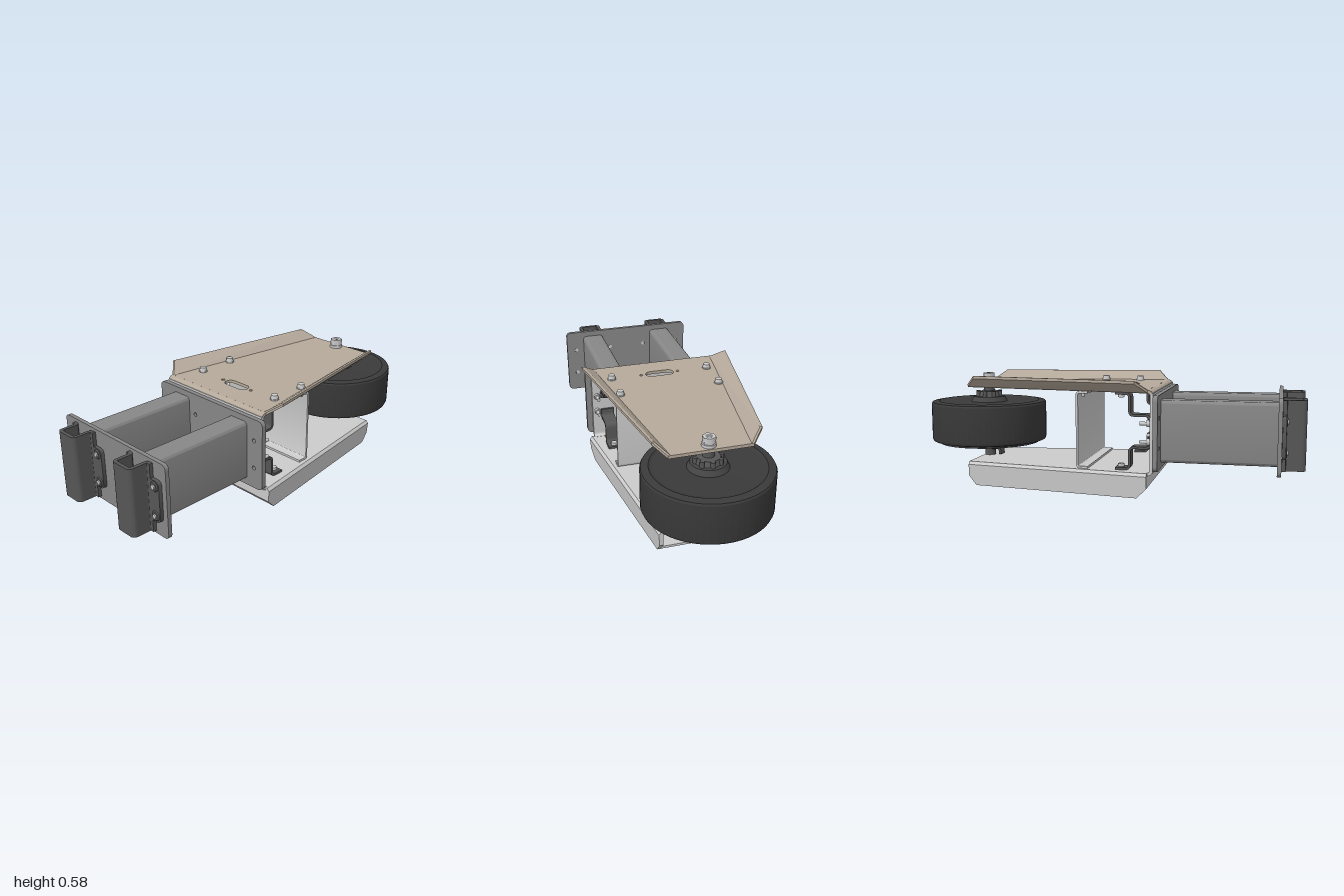
import * as THREE from 'three';
import { toCreasedNormals } from 'three/addons/utils/BufferGeometryUtils.js';
import { ConvexGeometry } from 'three/addons/geometries/ConvexGeometry.js';

const mat = (color) => new THREE.MeshStandardMaterial({ color });
const V = (x, y, z) => new THREE.Vector3(x, y, z);

export function createModel() {
  const model = new THREE.Group();
  const light = mat(0xcccccc), steel = mat(0x878787), tan = mat(0xb5a99b);
  const dark = mat(0x565656), rubber = mat(0x454545), tread = mat(0x3a3a3a);

  const add = (name, geo, material, x = 0, y = 0, z = 0) => {
    const mesh = new THREE.Mesh(geo, material);
    mesh.name = name;
    mesh.position.set(x, y, z);
    model.add(mesh);
    return mesh;
  };

  // Rounded rectangle outline, centred on the origin
  const roundRect = (w, h, r, Type = THREE.Shape) => {
    const s = new Type(), a = w / 2 - r, b = h / 2 - r;
    s.absarc(a, b, r, 0, Math.PI / 2);
    s.absarc(-a, b, r, Math.PI / 2, Math.PI);
    s.absarc(-a, -b, r, Math.PI, Math.PI * 1.5);
    s.absarc(a, -b, r, Math.PI * 1.5, Math.PI * 2);
    s.closePath();
    return s;
  };

  // Extrusion centred on its depth, running along z, x or y
  const extrude = (shape, depth, axis = 'z') => {
    let g = new THREE.ExtrudeGeometry(shape, { depth, bevelEnabled: false, curveSegments: 8 });
    g.translate(0, 0, -depth / 2);
    if (axis === 'x') g.rotateY(-Math.PI / 2);
    if (axis === 'y') g.rotateX(Math.PI / 2);
    return toCreasedNormals(g, 0.6);
  };

  // Bent sheet section: a polyline with rounded corners, given thickness t
  const strip = (pts, t, r) => {
    const p = pts.map(([x, y]) => new THREE.Vector2(x, y));
    const line = [p[0]];
    for (let i = 1; i < p.length - 1; i++) {
      const a = p[i].clone().add(p[i - 1].clone().sub(p[i]).setLength(r));
      const b = p[i].clone().add(p[i + 1].clone().sub(p[i]).setLength(r));
      line.push(...new THREE.QuadraticBezierCurve(a, p[i], b).getPoints(5));
    }
    line.push(p[p.length - 1]);
    const side = (k) => line.map((q, i) => {
      const d = line[Math.min(i + 1, line.length - 1)].clone().sub(line[Math.max(i - 1, 0)]).normalize();
      return new THREE.Vector2(q.x - d.y * k, q.y + d.x * k);
    });
    return new THREE.Shape([...side(t / 2), ...side(-t / 2).reverse()]);
  };

  const cyl = (r, h, n = 20, r2 = r) => new THREE.CylinderGeometry(r, r2, h, n);
  const cylZ = (r, h, n = 20, r2 = r) => cyl(r, h, n, r2).rotateX(Math.PI / 2);

  // Two square end plates with bolt holes
  const boltX = [-0.315, -0.105, 0.105, 0.315], boltY = [0.245, 0.392];
  for (const [name, z, d] of [['frontPlate', 0.877, 0.02], ['rearPlate', 0.292, 0.024]]) {
    const s = roundRect(0.74, 0.37, 0.025);
    for (const x of boltX) for (const y of boltY) {
      const hole = new THREE.Path();
      hole.absarc(x, y - 0.32, 0.011, 0, Math.PI * 2, true);
      s.holes.push(hole);
    }
    add(name, extrude(s, d), steel, 0, 0.32, z);
  }

  // Twin hollow arms, hat-shaped clamps and their screws
  for (const x of [-0.208, 0.208]) {
    const tube = roundRect(0.12, 0.31, 0.02);
    tube.holes.push(roundRect(0.096, 0.286, 0.012, THREE.Path));
    add('armTube', extrude(tube, 0.565), steel, x, 0.32, 0.586);

    const hat = strip([[-0.08, 0.897], [-0.053, 0.897], [-0.053, 0.991], [0.053, 0.991], [0.053, 0.897], [0.08, 0.897]], 0.018, 0.016);
    add('clampChannel', extrude(hat, 0.34, 'y'), dark, x, 0.32, 0);
    for (const s of [-1, 1]) {
      add('clampFlange', extrude(roundRect(0.075, 0.206, 0.022), 0.018), dark, x + s * 0.0975, 0.318, 0.897);
      for (const y of boltY) {
        add('clampCollar', cylZ(0.02, 0.006, 20, 0.026), dark, x + s * 0.105, y, 0.908);
        add('clampScrew', cylZ(0.011, 0.05), light, x + s * 0.105, y, 0.892);
      }
    }
  }

  // Fork head: upright plate joined to both fork plates by rounded bends
  add('headPlate', extrude(roundRect(0.68, 0.39, 0.004), 0.016), light, 0, 0.32, 0.27);
  const bend = (s) => {
    const path = [[0.27, 0.32 + s * 0.175], [0.27, 0.32 + s * 0.202], [0.235, 0.32 + s * 0.202]];
    return extrude(strip(path, 0.016, 0.022), 0.68, 'x');
  };
  add('upperBend', bend(1), tan);
  add('lowerBend', bend(-1), light);
  for (const x of boltX) for (const y of [0.275, 0.365]) {
    add('headNut', cylZ(0.017, 0.02, 6), light, x, y, 0.253);
    add('headStud', cylZ(0.009, 0.07), light, x, y, 0.243);
  }

  // Upper fork plate with a slot and small holes (drawn as x, z)
  const top = new THREE.Shape([[-0.34, 0.25], [0.34, 0.25], [0.2, -0.73], [-0.2, -0.73]].map(([x, z]) => new THREE.Vector2(x, z)));
  const slot = new THREE.Path();
  slot.absarc(0.045, 0.11, 0.03, -Math.PI / 2, Math.PI / 2);
  slot.absarc(-0.045, 0.11, 0.03, Math.PI / 2, Math.PI * 1.5);
  slot.closePath();
  top.holes.push(slot);
  for (const x of [-0.1, 0.1]) {
    const h = new THREE.Path();
    h.absarc(x, 0.11, 0.009, 0, Math.PI * 2);
    top.holes.push(h);
  }
  add('upperForkPlate', extrude(top, 0.016, 'y'), tan, 0, 0.522, 0);

  // Flared lips along the upper fork plate
  for (const s of [-1, 1]) {
    const pts = [];
    for (const [x, y, z] of [[0.34, 0.53, 0.25], [0.4, 0.577, 0.195], [0.258, 0.577, -0.675], [0.2, 0.53, -0.73]]) {
      pts.push(V(s * x, y, z), V(s * (x - 0.012), y, z), V(s * x, y - 0.014, z));
    }
    add('upperForkLip', new ConvexGeometry(pts), tan);
  }

  // Lower fork: tapered box with chamfered ends, open at the back
  const halfWidth = (z) => 0.367 - 0.131 * (0.25 - z);
  const slab = (name, list, inset = 0.015) => {
    const pts = [];
    for (const [y, z] of list) for (const s of [-1, 1]) pts.push(V(s * (halfWidth(z) - inset), y, z));
    add(name, new ConvexGeometry(pts), light);
  };
  slab('lowerForkTop', [[0.125, 0.25], [0.113, 0.25], [0.125, -0.72], [0.113, -0.72]]);
  slab('lowerForkFloor', [[0, 0.2], [0.012, 0.2], [0, -0.68], [0.012, -0.68]]);
  slab('lowerForkNose', [[0.11, 0.25], [0.11, 0.238], [0.05, 0.25], [0.05, 0.238]], 0.02);
  slab('lowerForkChamfer', [[0.05, 0.25], [0.055, 0.238], [0, 0.2], [0.012, 0.195]], 0.02);
  for (const s of [-1, 1]) {
    const pts = [];
    for (const [y, z] of [[0.125, 0.25], [0.11, 0.25], [0.05, 0.25], [0, 0.2], [0, -0.68], [0.05, -0.72], [0.11, -0.72], [0.125, -0.72]]) {
      const out = halfWidth(z) - (y > 0.12 ? 0.013 : (0.11 - y) * 0.07);
      pts.push(V(s * out, y, z), V(s * (halfWidth(z) - 0.022), y, z));
    }
    add('lowerForkSide', new ConvexGeometry(pts), light);
  }

  // Cross web between the fork plates
  const web = strip([[-0.06, 0.131], [-0.115, 0.131], [-0.115, 0.508], [-0.06, 0.508]], 0.011, 0.014);
  add('crossWeb', extrude(web, 0.58, 'x'), light);

  // Bent straps tying the head plate to the fork plates, with their bolts
  for (const x of [-0.26, 0.26]) {
    for (const s of [-1, 1]) {
      const path = [[0.255, 0.035], [0.255, 0.08], [0.153, 0.08], [0.153, 0.187], [0.08, 0.187]];
      const strap = strip(path.map(([z, y]) => [z, 0.32 + s * y]), 0.012, 0.022);
      add('strap', extrude(strap, 0.07, 'x'), dark, x, 0, 0);
      add('strapNut', cyl(0.017, 0.016, 6), light, x, 0.32 + s * 0.174, 0.105);
    }
    for (const z of [0.105, -0.09]) {
      add('forkBoltWasher', cyl(0.023, 0.006), light, x, 0.533, z);
      add('forkBoltHead', cyl(0.017, 0.018, 20, 0.02), light, x, 0.545, z);
      add('forkBoltStem', cyl(0.009, 0.05, 12), light, x, 0.51, z);
    }
  }

  // Wheel: solid tyre with stepped rims, hub and bearing caps
  const az = -0.69;
  const tyre = [[0.02, 0.205], [0.25, 0.205], [0.255, 0.2], [0.27, 0.2], [0.27, 0.208], [0.305, 0.216], [0.31, 0.228],
    [0.31, 0.415], [0.305, 0.424], [0.27, 0.43], [0.262, 0.425], [0.25, 0.423], [0.02, 0.423]];
  const wheel = new THREE.LatheGeometry(tyre.map(([r, y]) => new THREE.Vector2(r, y)), 64);
  add('tyre', toCreasedNormals(wheel, 0.4), tread, 0, 0, az);
  add('upperHub', cyl(0.085, 0.03, 40, 0.1), rubber, 0, 0.435, az);
  add('lowerHub', cyl(0.1, 0.025, 40, 0.085), rubber, 0, 0.196, az);
  add('upperBearingCap', cyl(0.055, 0.03, 32, 0.065), dark, 0, 0.462, az);
  for (let i = 0; i < 8; i++) {
    const a = i * Math.PI / 4;
    add('hubRib', cyl(0.011, 0.03, 10), dark, Math.cos(a) * 0.063, 0.464, az + Math.sin(a) * 0.063);
  }

  // Axle with spacers, washers and nuts
  add('axle', cyl(0.017, 0.5), steel, 0, 0.328, az);
  add('upperSpacer', cyl(0.028, 0.035), dark, 0, 0.497, az);
  add('lowerSpacer', cyl(0.028, 0.06), dark, 0, 0.155, az);
  add('upperWasher', cyl(0.034, 0.014, 28), light, 0, 0.537, az);
  add('upperNut', cyl(0.032, 0.032, 6), light, 0, 0.561, az);
  add('lowerNut', cyl(0.032, 0.028, 6), light, 0, 0.099, az);

  // Small stop hook and screws under the wheel
  const hook = strip([[-0.625, 0.131], [-0.625, 0.165], [-0.67, 0.165]], 0.012, 0.015);
  add('stopHook', extrude(hook, 0.06, 'x'), dark);
  for (const x of [-0.11, 0.11]) add('forkEndScrew', cyl(0.016, 0.035, 6), light, x, 0.1, az);

  return model;
}
